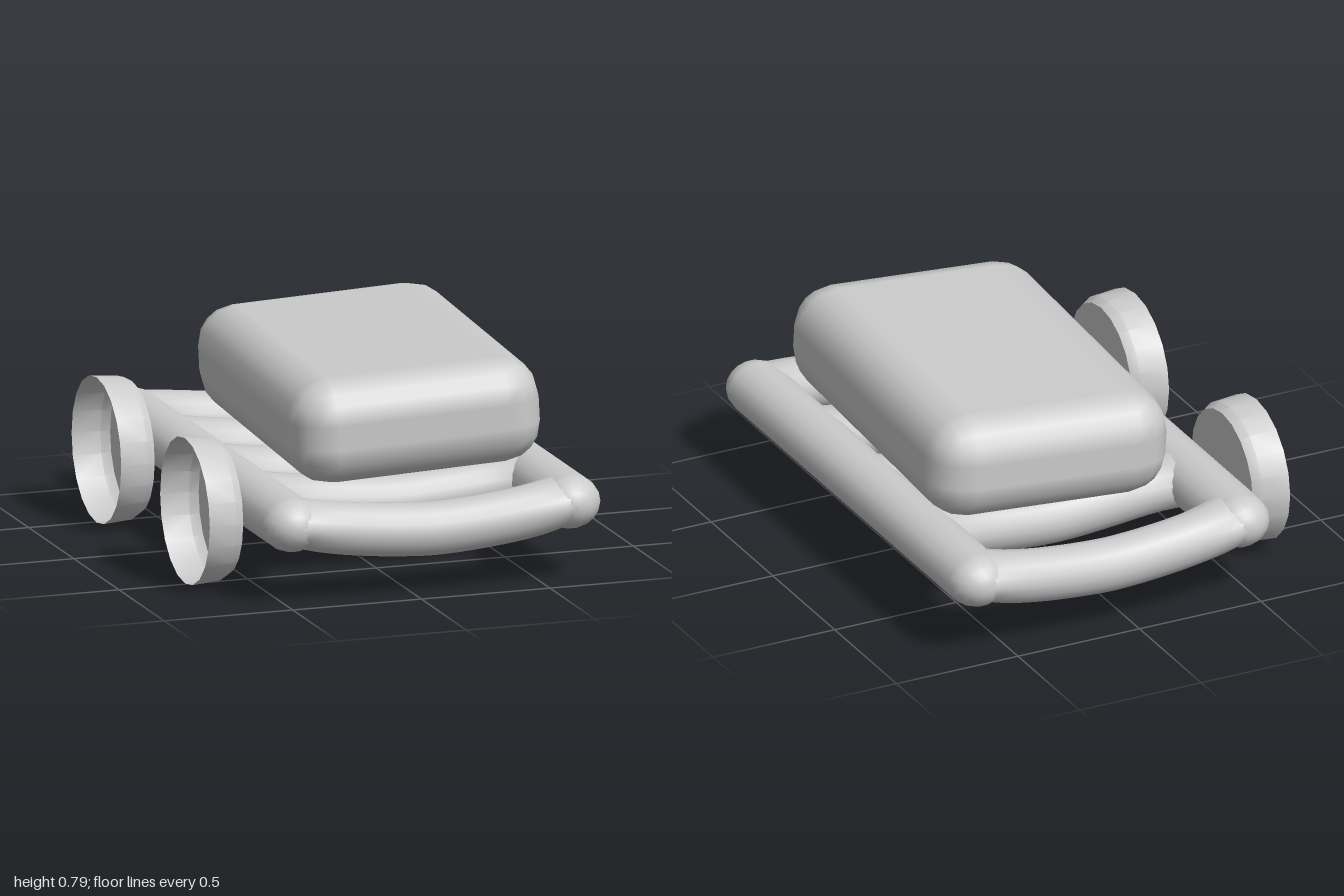
import * as THREE from 'three';
import { RoundedBoxGeometry } from 'three/addons/geometries/RoundedBoxGeometry.js';
import { toCreasedNormals } from 'three/addons/utils/BufferGeometryUtils.js';

const MID = 0.075;       // centre line of the frame in x
const HALF = 0.54;       // from the centre line to each side rail
const material = new THREE.MeshStandardMaterial({ color: 0xcccccc });
const thin = new THREE.MeshStandardMaterial({ color: 0xcccccc, side: THREE.DoubleSide });

function add(group, name, geometry, mat = material) {
  const mesh = new THREE.Mesh(geometry, mat);
  mesh.name = name;
  group.add(mesh);
  return mesh;
}

// Sagging bar along x. zMin and zMax give its edges in z; it flares near the rails.
function crossBar(zMin, zMax, flareMin, flareMax) {
  const steps = 24, sides = 16, pos = [], index = [];
  for (let i = 0; i <= steps; i++) {
    const t = -1 + (2 * i) / steps, s = Math.abs(t);
    const y = 0.238 + 0.057 * Math.pow(s, 1.6);
    const flare = Math.pow(s, 6);
    const a = zMin - flareMin * flare, b = zMax + flareMax * flare;
    const ry = 0.1 - 0.008 * flare;
    for (let j = 0; j < sides; j++) {
      const ang = (j / sides) * Math.PI * 2;
      pos.push(MID + t * HALF, y + ry * Math.cos(ang), (a + b) / 2 + ((b - a) / 2) * Math.sin(ang));
      if (i < steps) {
        const p = i * sides + j, q = i * sides + ((j + 1) % sides);
        index.push(p, q, p + sides, q, q + sides, p + sides);
      }
    }
  }
  const g = new THREE.BufferGeometry();
  g.setAttribute('position', new THREE.Float32BufferAttribute(pos, 3));
  g.setIndex(index);
  g.computeVertexNormals();
  return g;
}

export function createModel() {
  const model = new THREE.Group();
  model.name = 'wheeledFrame';

  // Frame: two side rails, two end rails and three slats
  const frame = new THREE.Group();
  frame.name = 'frame';
  model.add(frame);
  for (const side of [-1, 1]) {
    const rail = new THREE.CapsuleGeometry(0.115, 1.77, 6, 18).rotateX(Math.PI / 2).scale(1, 0.88, 1);
    add(frame, side > 0 ? 'leftRail' : 'rightRail', rail).position.set(MID + side * HALF, 0.293, 0);
  }
  add(frame, 'frontRail', crossBar(0.8, 1, 0.13, 0));
  add(frame, 'backRail', crossBar(-1, -0.8, 0, 0.13));
  for (const z of [-0.45, 0, 0.45]) add(frame, 'slat', crossBar(z - 0.1, z + 0.1, 0.13, 0.13));

  // Cushion-like body, slightly turned and tilted
  const body = add(model, 'body', new RoundedBoxGeometry(0.96, 0.4, 1.445, 2, 0.155));
  body.position.set(0.145, 0.573, 0.007);
  body.rotation.set(0, -0.05, 0.054, 'ZYX');

  // Hollow wheels, open on the outside
  const profile = [[0, 0.14], [0.247, 0.14], [0.266, 0.108], [0.275, 0]].map(([r, h]) => new THREE.Vector2(r, h));
  const wheelGeo = toCreasedNormals(new THREE.LatheGeometry(profile, 20).rotateZ(-Math.PI / 2), 0.5);
  for (const z of [0.49, -0.49]) {
    add(model, z > 0 ? 'frontWheel' : 'backWheel', wheelGeo, thin).position.set(-0.74, 0.275, z);
  }
  return model;
}
